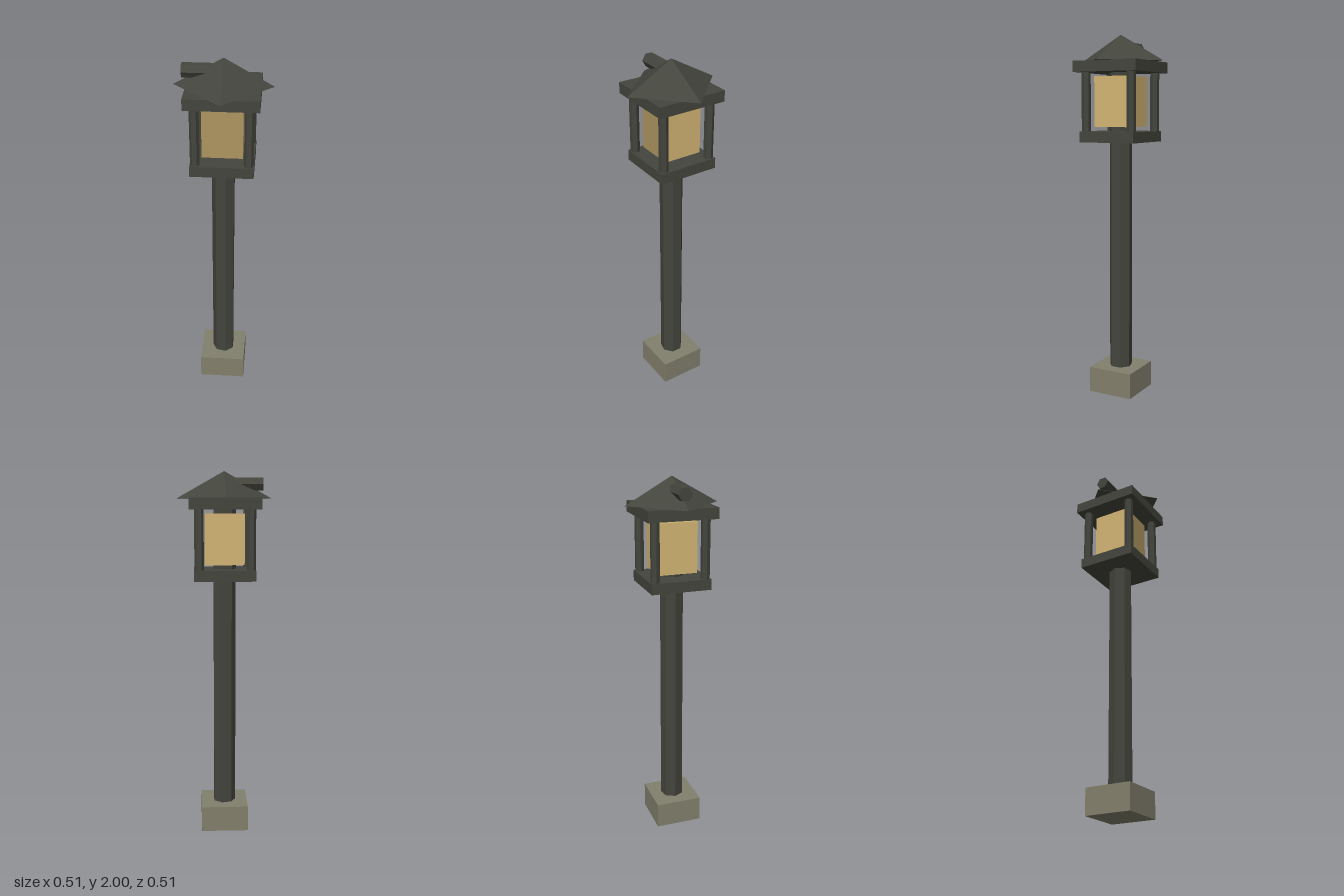
import * as THREE from 'three';

export function createModel() {
  const model = new THREE.Group();
  const material = (name, color) => {
    const m = new THREE.MeshStandardMaterial({ color });
    m.name = name;
    m.flatShading = true;
    return m;
  };
  const iron = material('darkIron', 0x44453d);
  const stone = material('stone', 0x827f6c);
  const glass = material('warmGlass', 0xd3b574);
  const dimGlass = material('dimGlass', 0xae9661);

  const add = (name, geometry, mat, x, y, z) => {
    const mesh = new THREE.Mesh(geometry, mat);
    mesh.name = name;
    mesh.position.set(x, y, z);
    model.add(mesh);
    return mesh;
  };
  // Square slab spanning heights y0 to y1
  const slab = (name, half, y0, y1, mat) =>
    add(name, new THREE.BoxGeometry(half * 2, y1 - y0, half * 2), mat, 0, (y0 + y1) / 2, 0);
  // Upright bar with a corner pointing to -x
  const bar = (name, r, sides, x, z, y0, y1) =>
    add(name, new THREE.CylinderGeometry(r, r, y1 - y0, sides, 1, false, -Math.PI / 2),
      iron, x, (y0 + y1) / 2, z);

  // Footing and post
  slab('footing', 0.13, 0, 0.143, stone);
  bar('post', 0.064, 7, 0, 0, 0.1, 1.83);

  // Lantern housing
  slab('lanternFloor', 0.165, 1.422, 1.48, iron);
  slab('lanternCap', 0.19, 1.798, 1.857, iron);
  for (const x of [-0.138, 0.138])
    for (const z of [-0.138, 0.138])
      bar('cornerBar', 0.025, 6, x, z, 1.46, 1.81);

  // Glass box, dimmer on its front face
  slab('lanternGlass', 0.106, 1.505, 1.777, [glass, glass, glass, glass, dimGlass, glass]);

  // Pyramid roof with corners on the axes
  add('roof', new THREE.ConeGeometry(0.255, 0.143, 4), iron, 0, 1.9285, 0);

  // Short horizontal pipe coming out of the roof
  const pipe = add('roofPipe', new THREE.CylinderGeometry(0.038, 0.038, 0.2, 6), iron, -0.11, 1.932, 0);
  pipe.rotation.z = Math.PI / 2;

  return model;
}
